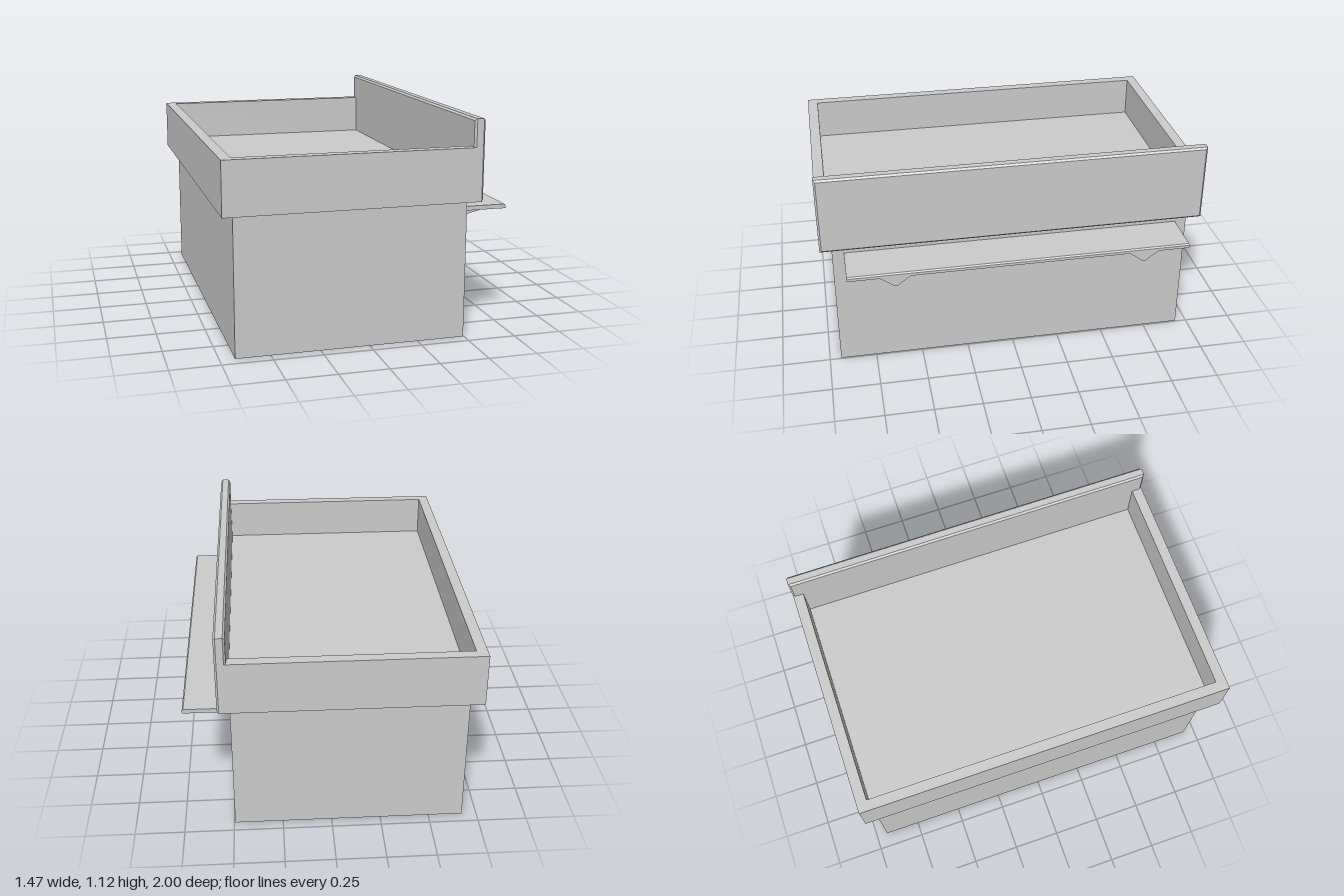
import * as THREE from 'three';

const material = new THREE.MeshStandardMaterial({ color: 0xcccccc, flatShading: true });

const shapeOf = (points) => new THREE.Shape(points.map(([x, y]) => new THREE.Vector2(x, y)));

function extrude(shape, depth, options = {}) {
  return new THREE.ExtrudeGeometry(shape, { depth, bevelEnabled: false, ...options });
}

export function createModel() {
  const model = new THREE.Group();
  const add = (name, geometry, parent = model) => {
    const mesh = new THREE.Mesh(geometry, material);
    mesh.name = name;
    parent.add(mesh);
    return mesh;
  };

  // Base: plain block with a small flare under the splash panel
  const baseProfile = [[-0.675, 0], [0.495, 0], [0.495, 0.69], [0.51, 0.71], [-0.675, 0.71]];
  add('base', extrude(shapeOf(baseProfile), 1.88).translate(0, 0, -0.94));

  // Tray: three-sided rim around a recessed floor
  const rim = shapeOf([
    [-0.735, -1], [0.51, -1], [0.51, -0.945], [-0.68, -0.945],
    [-0.68, 0.945], [0.51, 0.945], [0.51, 1], [-0.735, 1],
  ]);
  add('trayRim', extrude(rim, 0.27).rotateX(-Math.PI / 2).translate(0, 0.71, 0));
  add('trayFloor', new THREE.BoxGeometry(1.185, 0.055, 1.89)).position.set(-0.0875, 0.7375, 0);

  // Splash panel: upright board with chamfered face edges
  const c = 0.01;
  const board = shapeOf([
    [-1 + c, 0.71 + c], [1 - c, 0.71 + c], [1 - c, 1.12 - c], [-1 + c, 1.12 - c],
  ]);
  const boardGeometry = extrude(board, 0.055 - 2 * c, {
    bevelEnabled: true, bevelSize: c, bevelThickness: c, bevelSegments: 1,
  });
  add('splashPanel', boardGeometry.rotateY(Math.PI / 2).translate(0.5 + c, 0, 0));

  // Shelf with an eased outer edge
  const shelfProfile = [[0.49, 0.64], [0.73, 0.64], [0.73, 0.655], [0.723, 0.662], [0.49, 0.662]];
  add('shelf', extrude(shapeOf(shelfProfile), 1.76).translate(0, 0, -0.88));

  // Brackets: curved flare under the shelf over a tapered web
  const flare = new THREE.Shape();
  flare.moveTo(-0.08, 0.641);
  flare.quadraticCurveTo(-0.05, 0.622, -0.01, 0.59);
  flare.lineTo(0.01, 0.59);
  flare.quadraticCurveTo(0.05, 0.622, 0.08, 0.641);
  const web = shapeOf([[0.49, 0.532], [0.73, 0.588], [0.73, 0.6], [0.49, 0.6]]);
  for (const side of [-1, 1]) {
    const bracket = new THREE.Group();
    bracket.name = side > 0 ? 'frontBracket' : 'backBracket';
    bracket.position.z = side * 0.64;
    add('bracketFlare', extrude(flare, 0.24, { curveSegments: 6 })
      .rotateY(Math.PI / 2).translate(0.49, 0, 0), bracket);
    add('bracketWeb', extrude(web, 0.02).translate(0, 0, -0.01), bracket);
    model.add(bracket);
  }

  return model;
}
